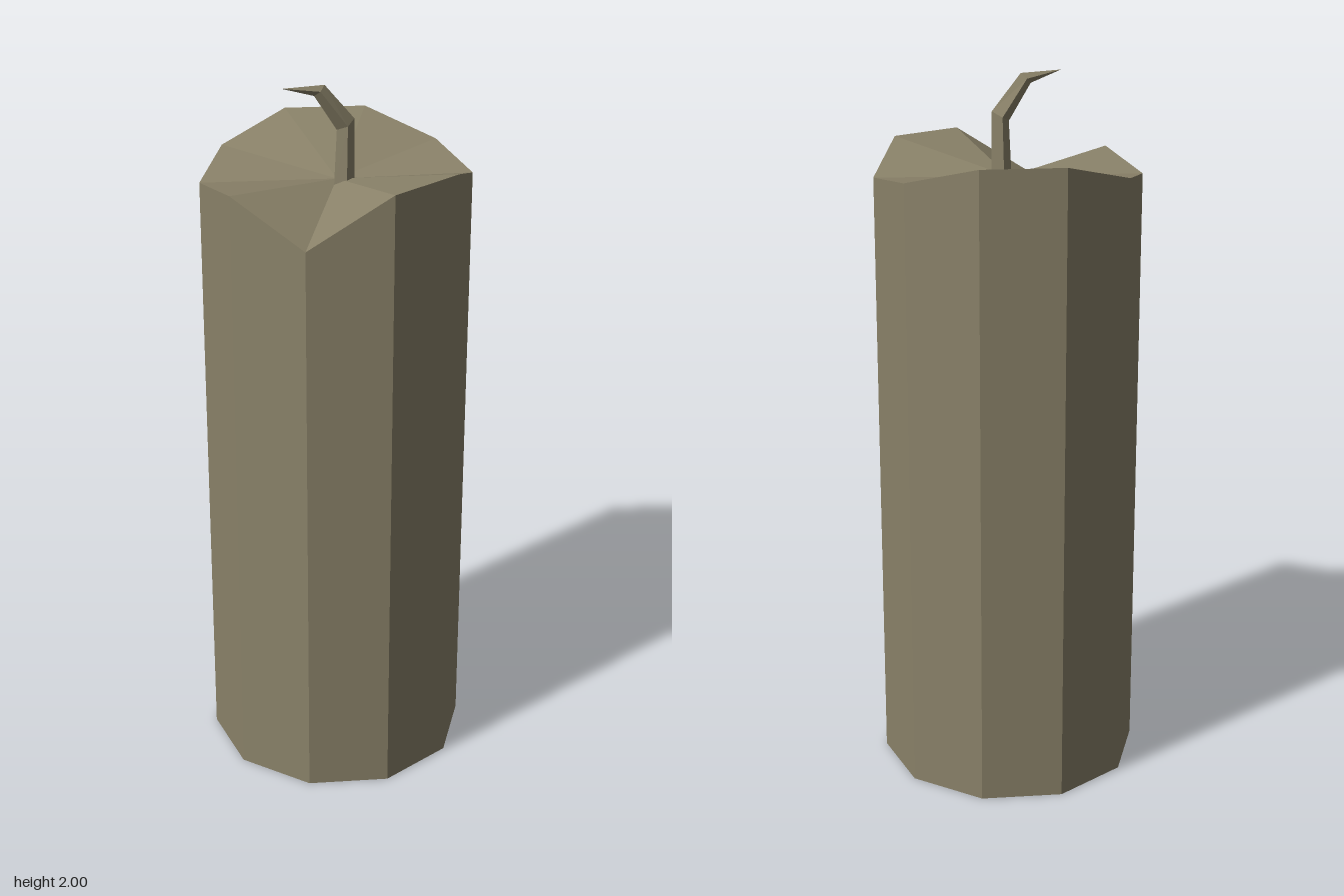
import * as THREE from 'three';

// Joins rings of [x, y, z] points (bottom to top) and closes the last ring to an apex.
function loft(rings, apex) {
  const pos = [];
  const tri = (a, b, c) => pos.push(...a, ...b, ...c);
  const n = rings[0].length;
  for (let i = 0; i < n; i++) {
    const j = (i + 1) % n;
    for (let r = 0; r + 1 < rings.length; r++) {
      const lo = rings[r], hi = rings[r + 1];
      tri(lo[j], lo[i], hi[i]);
      tri(lo[j], hi[i], hi[j]);
    }
    const top = rings[rings.length - 1];
    tri(apex, top[j], top[i]);
  }
  const geo = new THREE.BufferGeometry();
  geo.setAttribute('position', new THREE.Float32BufferAttribute(pos, 3));
  geo.computeVertexNormals(); // unshared corners give flat facets
  return geo;
}

// Square wick section; tilt raises the corner on the outside of the bend.
function wickRing(x, y, z, half, tilt) {
  return [[-1, -1], [1, -1], [1, 1], [-1, 1]].map(([sx, sz]) =>
    [x + sx * half, y + tilt * (sx - sz) / 2, z + sz * half]);
}

export function createModel() {
  const group = new THREE.Group();
  const wax = new THREE.MeshStandardMaterial({ color: 0x8a8269 });
  wax.name = 'drab wax';
  wax.side = THREE.DoubleSide;

  const add = (name, geo) => {
    const mesh = new THREE.Mesh(geo, wax);
    mesh.name = name;
    group.add(mesh);
  };

  // Ten-sided body, open underneath, with an unevenly melted rim
  const rimHeights = [1.80, 1.795, 1.65, 1.76, 1.725, 1.76, 1.82, 1.82, 1.76, 1.73];
  const ring = (height) => rimHeights.map((h, i) => {
    const a = i * Math.PI / 5;
    return [0.37 * Math.cos(a), height(h), 0.37 * Math.sin(a)];
  });
  add('candleBody', loft([ring(() => 0), ring((h) => h)], [0, 1.725, 0]));

  // Bent wick tapering to a point
  add('wick', loft([
    wickRing(0.03, 1.71, 0.012, 0.02, 0),
    wickRing(0.034, 1.885, 0.012, 0.017, 0.014),
    wickRing(-0.012, 1.984, 0.07, 0.01, 0.014),
  ], [-0.075, 2, 0.155]));

  return group;
}
